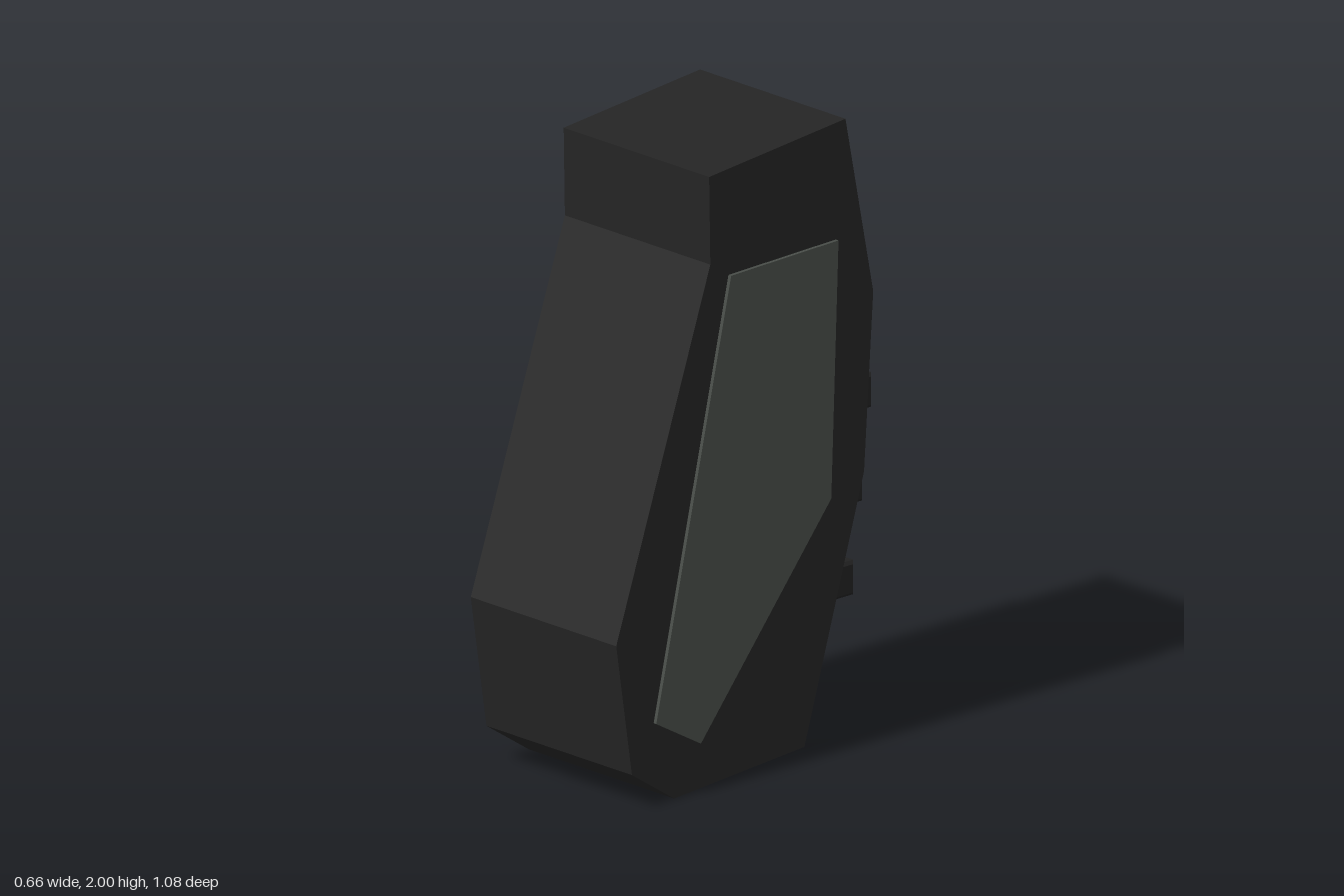
import * as THREE from 'three';

const material = (name, color) => {
  const m = new THREE.MeshStandardMaterial({ color });
  m.name = name;
  return m;
};

// Extrudes a [z, y] outline across x, centred on the given x.
function slab(name, outline, width, x, mat, bevel = 0) {
  const shape = new THREE.Shape(outline.map(([z, y]) => new THREE.Vector2(z, y)));
  const depth = width - 2 * bevel;
  const geometry = new THREE.ExtrudeGeometry(shape, {
    depth,
    bevelEnabled: bevel > 0,
    bevelThickness: bevel,
    bevelSize: bevel,
    bevelOffset: -bevel,
    bevelSegments: 1,
  });
  geometry.translate(0, 0, -depth / 2);
  geometry.rotateY(-Math.PI / 2);
  const mesh = new THREE.Mesh(geometry, mat);
  mesh.name = name;
  mesh.position.x = x;
  return mesh;
}

export function createModel() {
  const bodyBlack = material('body black', 0x242424);
  const ridgeBlack = material('ridge black', 0x202020);
  const panelGrey = material('panel grey', 0x474c47);

  const group = new THREE.Group();
  group.name = 'angularGrip';

  // Faceted main body
  group.add(slab('body', [
    [0.30, 0], [0.475, 0.115], [0.54, 0.54], [0.15, 1.665], [0.155, 1.945],
    [-0.41, 2], [-0.525, 1.425], [-0.487, 0.86], [-0.24, 0.04],
  ], 0.64, 0, bodyBlack));

  // Raised side panels
  const panel = [[0.075, 1.615], [-0.37, 1.625], [-0.34, 0.81], [0.2, 0.155], [0.385, 0.26]];
  for (const [name, side] of [['leftPanel', 1], ['rightPanel', -1]]) {
    group.add(slab(name, panel, 0.03, side * 0.317, panelGrey));
  }

  // Chamfered finger ridges across the back: [bottom y, outer z]
  [[1.05, -0.535], [0.76, -0.498], [0.47, -0.46]].forEach(([y, z], i) => {
    group.add(slab(`ridge${i + 1}`, [
      [z, y], [z + 0.1, y], [z + 0.1, y + 0.11], [z, y + 0.11],
    ], 0.62, 0, ridgeBlack, 0.01));
  });

  return group;
}
